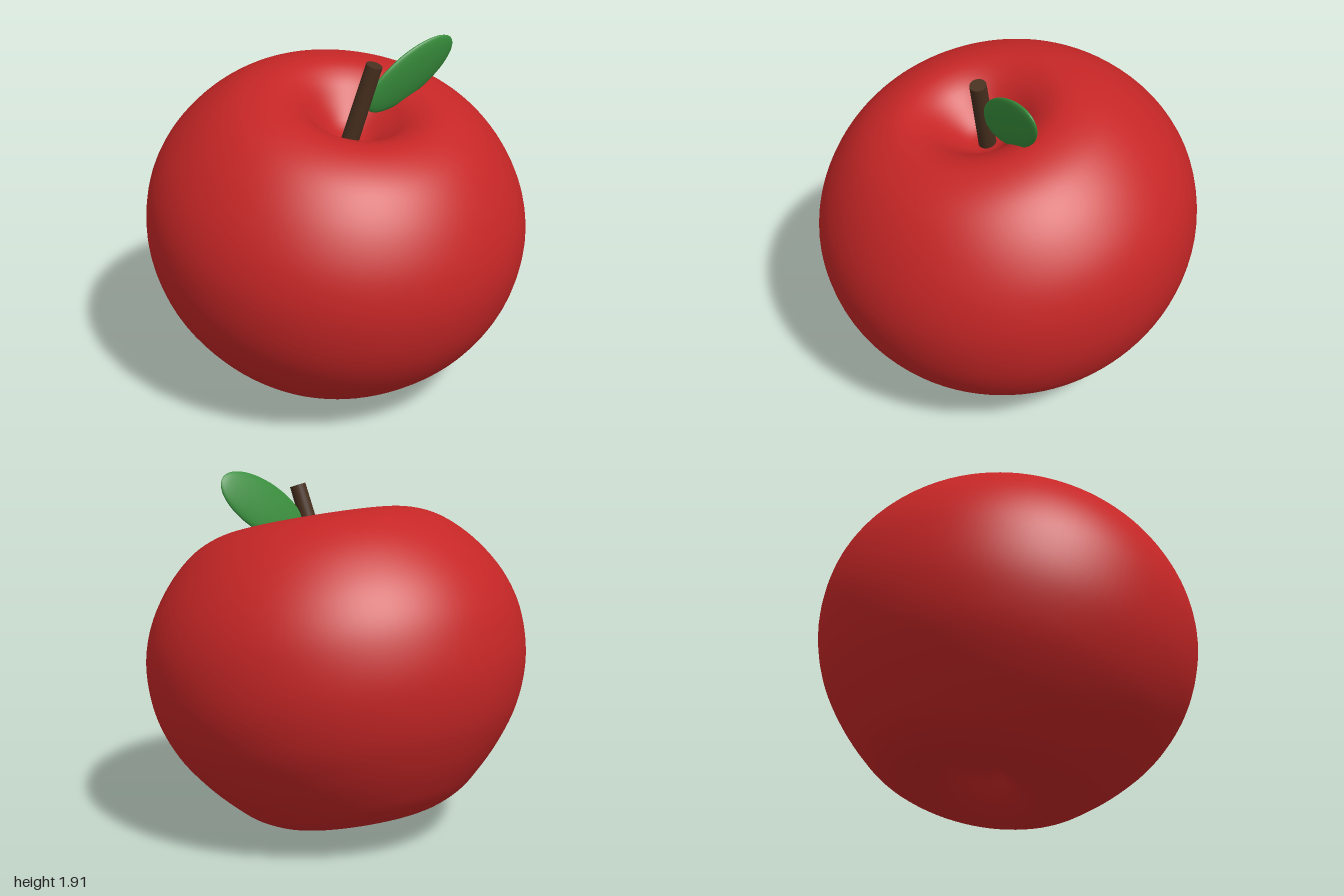
import * as THREE from 'three';

export function createModel() {
  const model = new THREE.Group();
  model.name = 'apple';

  const paint = (name, color) => {
    const m = new THREE.MeshStandardMaterial({ color });
    m.name = name;
    return m;
  };
  const red = paint('apple red', 0xc62626);
  const brown = paint('stem brown', 0x48301f);
  const green = paint('leaf green', 0x388e3c);

  // everything leans forward about the middle of the fruit
  const fruit = new THREE.Group();
  fruit.name = 'fruit';
  fruit.position.y = 0.912;
  fruit.rotation.x = THREE.MathUtils.degToRad(14);
  model.add(fruit);

  const add = (name, geometry, material) => {
    const mesh = new THREE.Mesh(geometry, material);
    mesh.name = name;
    fruit.add(mesh);
    return mesh;
  };

  // body: profile from the lower dimple round to the upper dimple
  const profile = new THREE.SplineCurve([
    [0, -0.68], [0.09, -0.7], [0.2, -0.79], [0.36, -0.845], [0.53, -0.785],
    [0.66, -0.68], [0.79, -0.54], [0.9, -0.38], [0.975, -0.19], [1, 0],
    [0.982, 0.185], [0.91, 0.37], [0.78, 0.55], [0.62, 0.68], [0.435, 0.737],
    [0.3, 0.7], [0.19, 0.61], [0.09, 0.53], [0, 0.51],
  ].map(([r, y]) => new THREE.Vector2(r, y)));
  const points = profile.getSpacedPoints(96);
  points[0].x = points[96].x = 0;
  add('body', new THREE.LatheGeometry(points, 96), red);

  // stem: leans to the left out of the upper dimple
  const stem = add('stem', new THREE.CylinderGeometry(0.042, 0.046, 0.5, 24), brown);
  stem.position.set(0.03, 0.685, 0);
  stem.rotation.z = -0.17;

  // leaf: flattened ellipsoid beside the stem
  const leafShape = new THREE.SphereGeometry(1, 40, 28);
  leafShape.scale(0.285, 0.135, 0.03);
  const leaf = add('leaf', leafShape, green);
  leaf.position.set(0.312, 0.835, 0.005);
  leaf.rotation.z = THREE.MathUtils.degToRad(33);

  return model;
}
